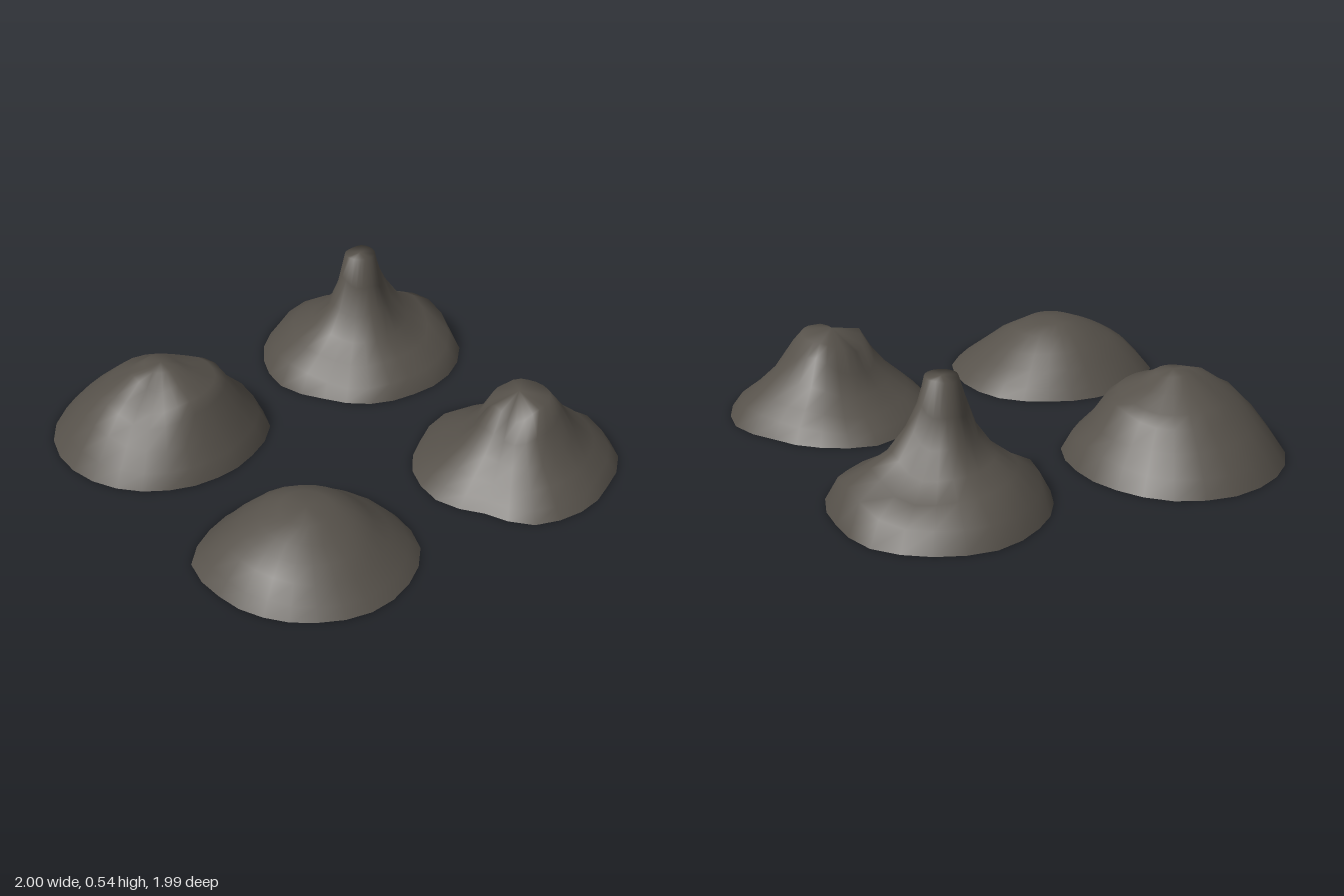
import * as THREE from 'three';

const rock = new THREE.MeshStandardMaterial({ color: 0x57524b, side: THREE.DoubleSide });
rock.name = 'darkRock';

const COLUMNS = 24;

// Smoothly blends values spaced evenly around a circle, starting at +x and turning towards +z
function around(values, turn) {
  const q = turn * values.length;
  const i = Math.floor(q);
  const t = (1 - Math.cos((q - i) * Math.PI)) / 2;
  return THREE.MathUtils.lerp(values[i % values.length], values[(i + 1) % values.length], t);
}

// Hollow mound of rings climbing from an uneven foot to a closed summit.
// foot: radii every 30 degrees. Each ring: [fraction of foot radius, heights evenly spaced from +x].
function mound(name, cx, cz, top, foot, rings) {
  const mean = foot.reduce((sum, r) => sum + r, 0) / foot.length;
  const levels = [[1, 0], ...rings];
  const positions = [], index = [];

  for (const [fraction, ...heights] of levels) {
    for (let i = 0; i < COLUMNS; i++) {
      const turn = i / COLUMNS, angle = turn * Math.PI * 2;
      // Foot irregularities fade uphill
      const r = fraction * THREE.MathUtils.lerp(mean, around(foot, turn), fraction);
      positions.push(cx + Math.cos(angle) * r, around(heights, turn), cz + Math.sin(angle) * r);
    }
  }
  const peak = levels.length * COLUMNS;
  positions.push(cx, top, cz);

  for (let k = 0; k < levels.length; k++) {
    for (let i = 0; i < COLUMNS; i++) {
      const a = k * COLUMNS + i, b = k * COLUMNS + (i + 1) % COLUMNS;
      if (k === levels.length - 1) index.push(a, peak, b);
      else index.push(a, a + COLUMNS, b, b, a + COLUMNS, b + COLUMNS);
    }
  }

  const geometry = new THREE.BufferGeometry();
  geometry.setAttribute('position', new THREE.Float32BufferAttribute(positions, 3));
  geometry.setIndex(index);
  geometry.computeVertexNormals();
  const mesh = new THREE.Mesh(geometry, rock);
  mesh.name = name;
  return mesh;
}

export function createModel() {
  const group = new THREE.Group();
  group.name = 'rockMounds';

  // Back right: steep narrow spire on a concave cone, with a raised rim at the back
  group.add(mound('tallSpireMound', -0.5, -0.53, 0.54,
    [.41, .41, .4, .44, .44, .45, .48, .48, .49, .46, .47, .44],
    [
      [.89, .07, .05, .1, .07, .08, .08, .15, .08],
      [.68, .13, .12, .15, .16, .15, .13, .21, .13],
      [.48, .2, .19, .22, .21, .2, .19, .26, .2],
      [.32, .31, .29, .32, .27, .29, .28, .36, .28],
      [.22, .41, .41, .45, .38, .4, .4, .45, .38],
      [.15, .54, .54, .54, .53, .53, .54, .54, .54],
    ]));

  // Back left: concave slopes and a kite-shaped flat top
  group.add(mound('flatToppedMound', 0.58, -0.54, 0.375,
    [.42, .43, .38, .43, .44, .43, .47, .44, .42, .46, .45, .41],
    [
      [.9, .04, .04, .05, .04, .04, .06, .08, .06],
      [.75, .1, .09, .11, .08, .08, .11, .13, .11],
      [.57, .16, .15, .18, .14, .14, .19, .2, .19],
      [.42, .26, .22, .26, .2, .22, .3, .27, .3],
      [.3, .35, .3, .35, .28, .32, .35, .35, .36],
    ]));

  // Front right: broad terrace around a low crown
  group.add(mound('broadMound', -0.5, 0.53, 0.37,
    [.41, .42, .44, .46, .48, .49, .5, .49, .46, .45, .46, .42],
    [
      [.9, .07, .06, .08, .07, .07, .07, .1, .08],
      [.75, .14, .13, .18, .16, .15, .15, .15, .15],
      [.6, .24, .2, .26, .22, .22, .22, .26, .25],
      [.5, .285, .25, .285, .26, .265, .26, .285, .285],
      [.3, .32, .3, .35, .32, .31, .31, .31, .32],
      [.16, .36, .36, .365, .365, .365, .36, .35, .36],
    ]));

  // Front left: low dome with a small crown and a sunken flank
  group.add(mound('lowMound', 0.56, 0.54, 0.25,
    [.43, .41, .41, .42, .46, .43, .42, .42, .45, .45, .46, .44],
    [
      [.9, .04, .06, .04, .05],
      [.75, .095, .13, .11, .1],
      [.6, .15, .17, .17, .15],
      [.43, .185, .205, .22, .215],
      [.25, .235, .235, .25, .24],
    ]));

  return group;
}
